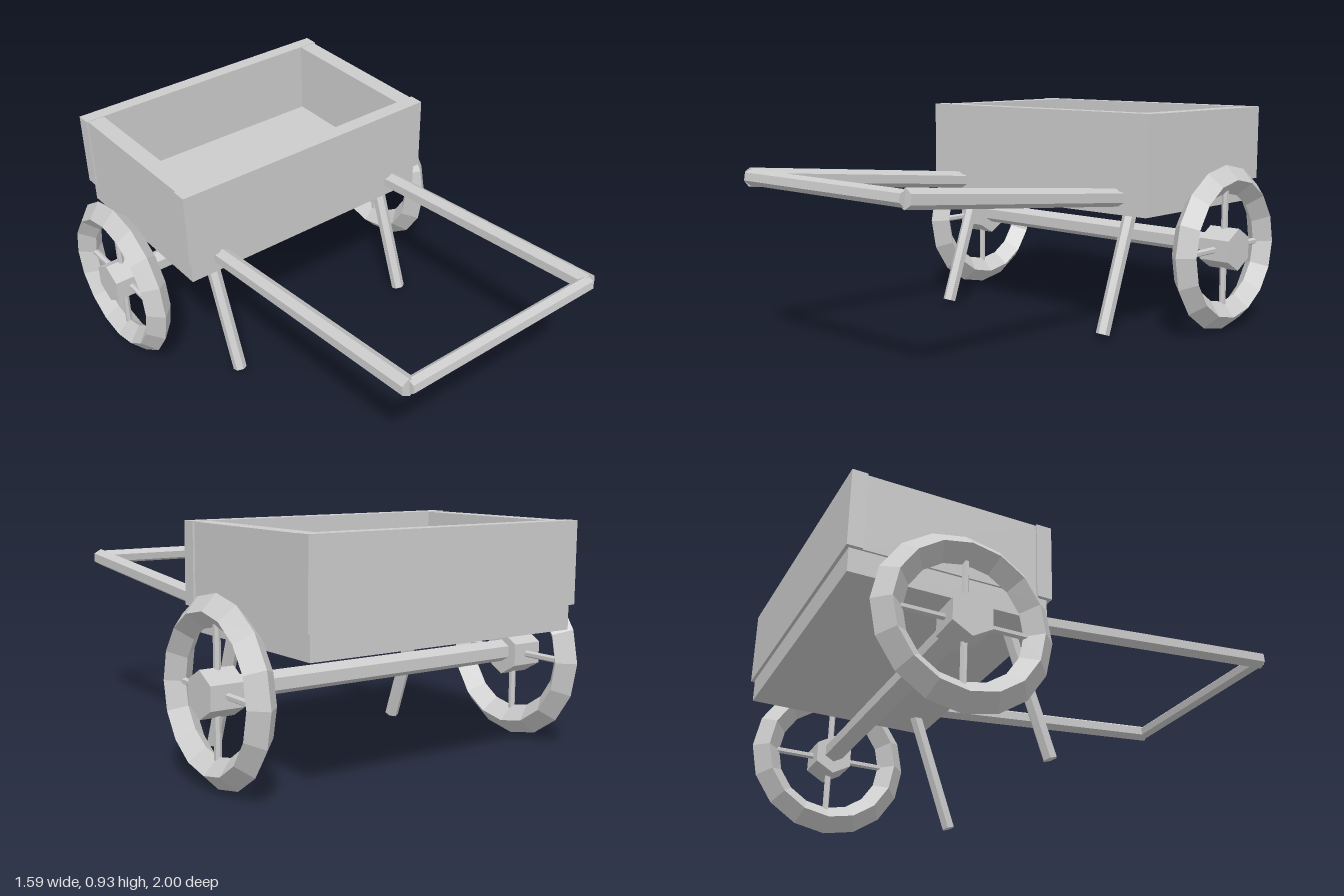
import * as THREE from 'three';

const material = new THREE.MeshStandardMaterial({ color: 0xcccccc, flatShading: true });

function part(parent, name, geometry) {
  const mesh = new THREE.Mesh(geometry, material);
  mesh.name = name;
  parent.add(mesh);
  return mesh;
}

// Box given by its lower and upper corners
function box(parent, name, lo, hi) {
  const size = hi.map((v, i) => v - lo[i]);
  const mesh = part(parent, name, new THREE.BoxGeometry(...size));
  mesh.position.set(...hi.map((v, i) => (v + lo[i]) / 2));
  return mesh;
}

// Six-sided pole between two points; twist turns it about its own axis
function pole(parent, name, from, to, radius, twist = 0) {
  const a = new THREE.Vector3(...from);
  const b = new THREE.Vector3(...to);
  const geometry = new THREE.CylinderGeometry(radius, radius, a.distanceTo(b), 6);
  geometry.rotateY(twist);
  const mesh = part(parent, name, geometry);
  mesh.position.copy(a).add(b).multiplyScalar(0.5);
  mesh.quaternion.setFromUnitVectors(new THREE.Vector3(0, 1, 0), b.sub(a).normalize());
  return mesh;
}

// Wheel around the x axis: diamond-section rim, four spokes, hexagonal hub
function makeWheel() {
  const wheel = new THREE.Group();
  wheel.name = 'wheel';
  part(wheel, 'rim', new THREE.TorusGeometry(0.294, 0.06, 4, 16).rotateY(Math.PI / 2));
  pole(wheel, 'hub', [-0.068, 0, 0], [0.072, 0, 0], 0.09, Math.PI / 6);
  for (let i = 0; i < 4; i++) {
    const c = Math.cos(i * Math.PI / 2);
    const s = Math.sin(i * Math.PI / 2);
    pole(wheel, 'spoke', [0, 0.05 * s, 0.05 * c], [0, 0.26 * s, 0.26 * c], 0.014);
  }
  return wheel;
}

export function createModel() {
  const cart = new THREE.Group();
  cart.name = 'handCart';

  // Tray: floor slab with four boards standing on it
  const tray = new THREE.Group();
  tray.name = 'tray';
  cart.add(tray);
  box(tray, 'floor', [-0.605, 0.512, -0.987], [0.605, 0.61, -0.185]);
  box(tray, 'frontBoard', [-0.622, 0.61, -0.235], [0.622, 0.934, -0.17]);
  box(tray, 'backBoard', [-0.622, 0.61, -1], [0.622, 0.934, -0.938]);
  box(tray, 'leftBoard', [0.538, 0.61, -0.938], [0.614, 0.932, -0.235]);
  box(tray, 'rightBoard', [-0.614, 0.61, -0.938], [-0.538, 0.932, -0.235]);

  // Axle
  const axleY = 0.354;
  const axleZ = -0.584;
  pole(cart, 'axle', [-0.7, axleY + 0.01, axleZ], [0.7, axleY + 0.01, axleZ], 0.046, Math.PI / 6);

  // Wheels, handle poles and prop legs on both sides
  for (const side of [-1, 1]) {
    const wheel = makeWheel();
    wheel.position.set(side * 0.723, axleY, axleZ);
    if (side < 0) wheel.rotation.y = Math.PI;
    cart.add(wheel);
    const x = side * 0.461;
    pole(cart, 'handlePole', [x, 0.575, -0.28], [x, 0.692, 0.975], 0.038);
    pole(cart, 'propLeg', [x, 0.02, -0.097], [x, 0.55, -0.284], 0.029);
  }

  // Grip joining the two handle poles
  pole(cart, 'crossbar', [-0.461, 0.692, 0.97], [0.461, 0.692, 0.97], 0.032, Math.PI / 9);

  return cart;
}
